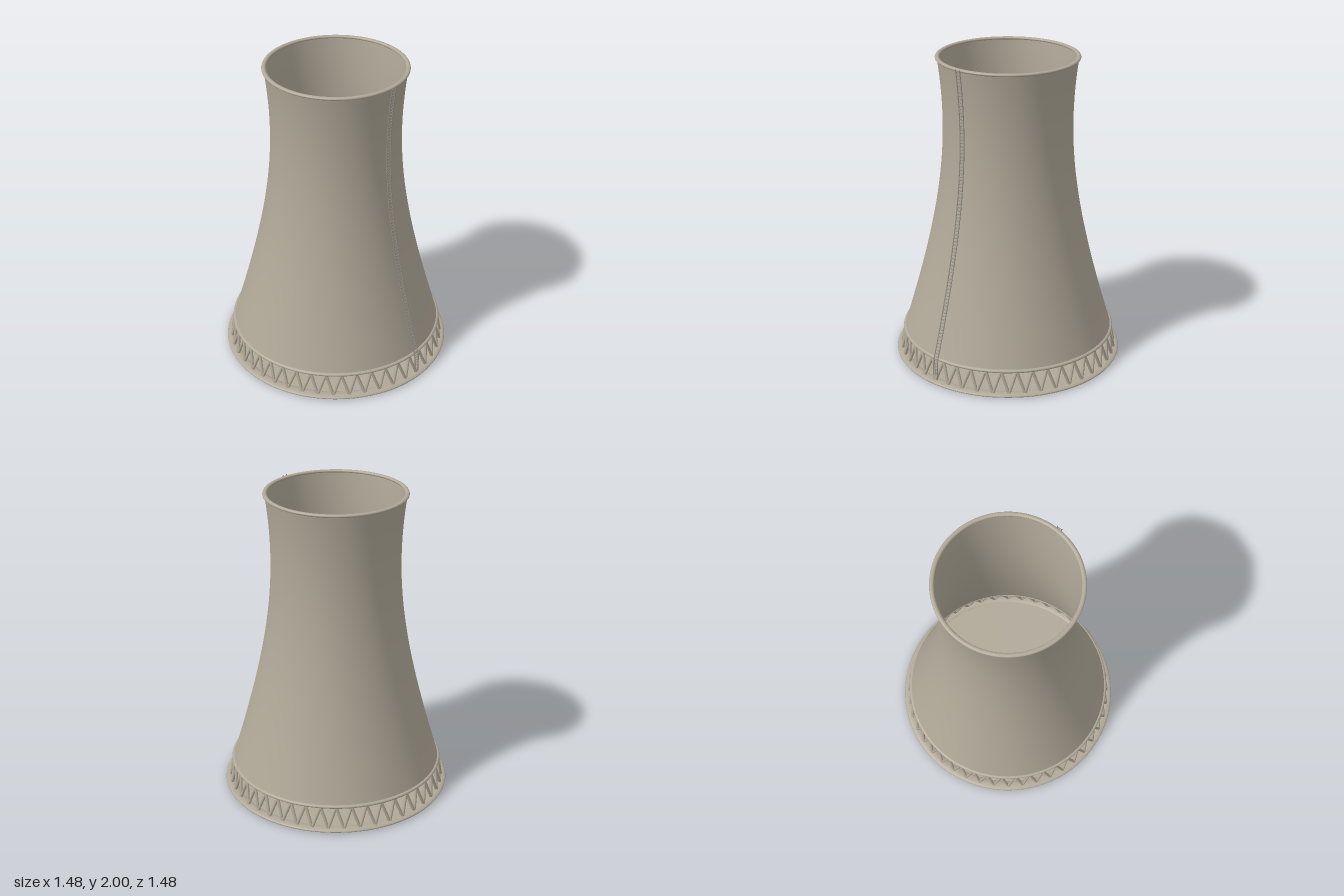
import * as THREE from 'three';

const concrete = new THREE.MeshStandardMaterial({ color: 0xb0a898 });
concrete.name = 'concrete';
const steel = new THREE.MeshStandardMaterial({ color: 0x96928a });
steel.name = 'ladder steel';

// Hyperbolic wall: narrowest at the throat, flaring to the skirt
const THROAT_Y = 1.58, THROAT_R = 0.41, SKIRT_Y = 0.16, TOP_Y = 1.99;
const wallRadius = y => THROAT_R * Math.sqrt(1 + ((y - THROAT_Y) / 1.066) ** 2);
const UP = new THREE.Vector3(0, 1, 0);

function add(parent, name, geometry, material) {
  const mesh = new THREE.Mesh(geometry, material);
  mesh.name = name;
  parent.add(mesh);
  return mesh;
}

// Smooth wall surface, offset inwards; reversing the profile faces it inwards
function wall(inset, inward) {
  const points = [];
  for (let i = 0; i <= 48; i++) {
    const y = SKIRT_Y + (TOP_Y - SKIRT_Y) * i / 48;
    points.push(new THREE.Vector2(wallRadius(y) - inset, y));
  }
  return new THREE.LatheGeometry(inward ? points.reverse() : points, 96);
}

// Ring with an elliptical section
function ring(radius, y, halfWidth, halfHeight) {
  const points = [];
  for (let i = 0; i <= 16; i++) {
    const a = -Math.PI / 2 + i / 16 * Math.PI * 2;
    points.push(new THREE.Vector2(radius + halfWidth * Math.cos(a), y + halfHeight * Math.sin(a)));
  }
  return new THREE.LatheGeometry(points, 96);
}

// Round bar between two points
function bar(parent, name, a, b, radius, material, sides = 8) {
  const dir = b.clone().sub(a);
  const mesh = add(parent, name, new THREE.CylinderGeometry(radius, radius, dir.length(), sides), material);
  mesh.position.copy(a).add(b).multiplyScalar(0.5);
  mesh.quaternion.setFromUnitVectors(UP, dir.normalize());
}

const polar = (r, angle, y) => new THREE.Vector3(r * Math.sin(angle), y, r * Math.cos(angle));

export function createModel() {
  const tower = new THREE.Group();
  tower.name = 'coolingTower';

  // Thin shell, outside and inside
  add(tower, 'outerWall', wall(0, false), concrete);
  add(tower, 'innerWall', wall(0.011, true), concrete);

  // Rings at the top, skirt and foundation
  add(tower, 'topRim', ring(0.437, 1.99, 0.014, 0.01), concrete);
  add(tower, 'skirtRing', ring(0.68, 0.162, 0.015, 0.011), concrete);
  add(tower, 'foundationRing', ring(0.706, 0.0125, 0.034, 0.0125), concrete);

  // Basin floor
  const floor = add(tower, 'basinFloor', new THREE.CylinderGeometry(0.695, 0.695, 0.01, 96), concrete);
  floor.position.y = 0.011;

  // Zigzag of slanting columns
  const columns = new THREE.Group();
  columns.name = 'columns';
  tower.add(columns);
  const COUNT = 44, step = Math.PI * 2 / COUNT;
  for (let i = 0; i < COUNT; i++) {
    const foot = polar(0.708, i * step, 0.018);
    for (const side of [-1, 1]) {
      bar(columns, 'column', foot, polar(0.681, (i + side * 0.5) * step, 0.16), 0.0095, concrete);
    }
  }

  // Ladder following the front of the wall
  const ladder = new THREE.Group();
  ladder.name = 'ladder';
  tower.add(ladder);
  const ladderZ = y => wallRadius(Math.max(y, SKIRT_Y)) + 0.019;
  for (const x of [-0.016, 0.016]) {
    const path = [new THREE.Vector3(x, 0.025, ladderZ(0) + 0.006)];
    for (let i = 0; i <= 24; i++) {
      const y = SKIRT_Y + (2 - SKIRT_Y) * i / 24;
      path.push(new THREE.Vector3(x, y, ladderZ(y)));
    }
    add(ladder, 'ladderRail', new THREE.TubeGeometry(new THREE.CatmullRomCurve3(path), 80, 0.0035, 6), steel);
  }
  for (let y = 0.05; y < 1.99; y += 0.0215) {
    const z = ladderZ(y);
    bar(ladder, 'ladderRung', new THREE.Vector3(-0.016, y, z), new THREE.Vector3(0.016, y, z), 0.003, steel, 6);
  }
  return tower;
}
